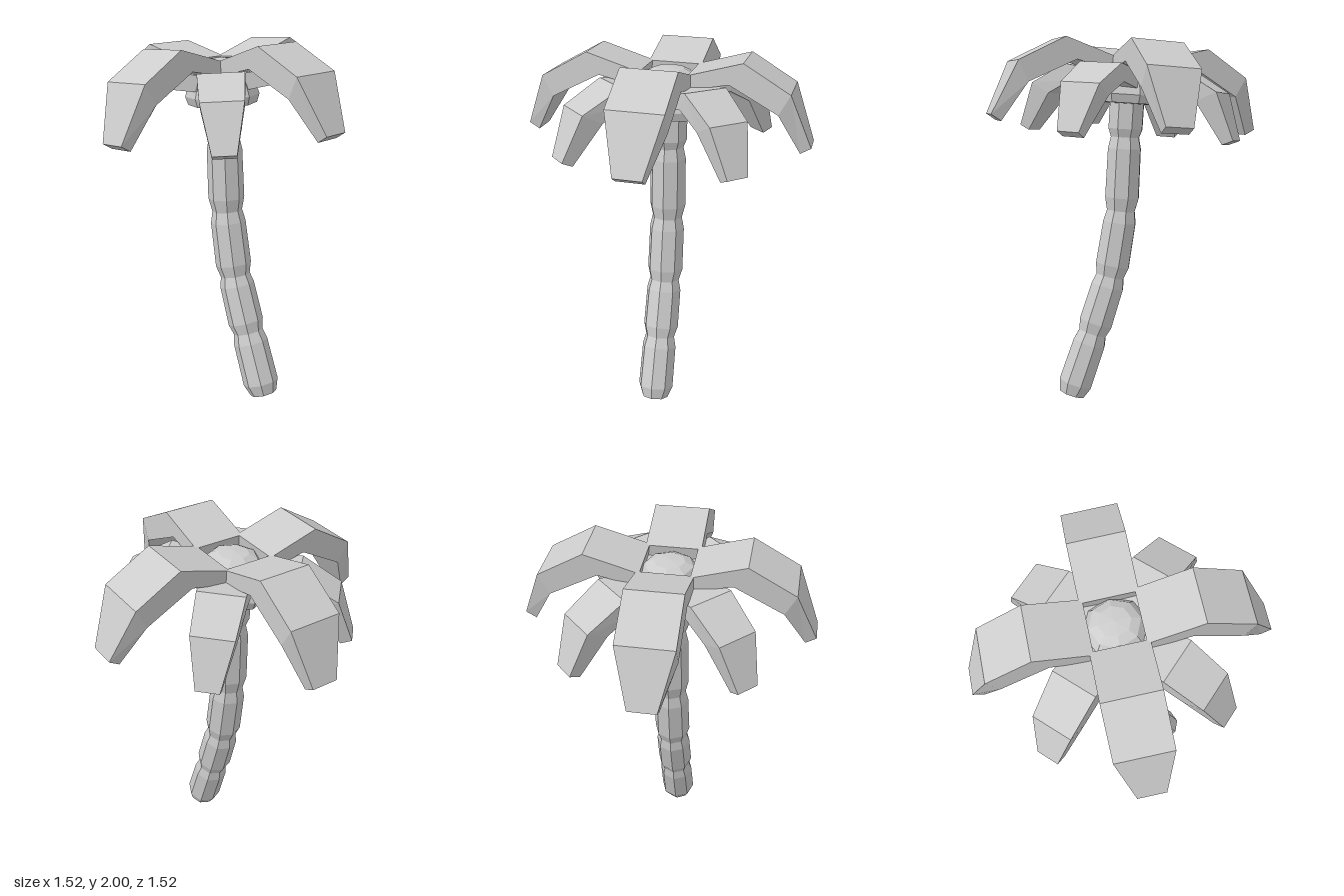
import * as THREE from 'three';

const material = new THREE.MeshStandardMaterial({ color: 0xcccccc, flatShading: true });

// Closed skin through rings of equal point count, each counter-clockwise about the direction of travel
function loft(rings) {
  const n = rings[0].length, last = (rings.length - 1) * n, index = [];
  for (let i = 0; i < rings.length - 1; i++) {
    for (let j = 0; j < n; j++) {
      const a = i * n + j, b = i * n + (j + 1) % n;
      index.push(a, b, b + n, a, b + n, a + n);
    }
  }
  for (let j = 1; j < n - 1; j++) {
    index.push(0, j + 1, j, last, last + j, last + j + 1);
  }
  const geometry = new THREE.BufferGeometry();
  geometry.setAttribute('position', new THREE.Float32BufferAttribute(rings.flat(2), 3));
  geometry.setIndex(index);
  geometry.computeVertexNormals();
  return geometry;
}

function part(name, geometry) {
  const mesh = new THREE.Mesh(geometry, material);
  mesh.name = name;
  return mesh;
}

// Leaning octagonal trunk, pinched at each joint
function trunkGeometry() {
  const joints = [[0.32, 0.025], [0.195, 0.37], [0.09, 0.69], [0.025, 1.06], [0, 1.47], [-0.015, 1.7]]
    .map(([x, y]) => new THREE.Vector3(x, y, 0));
  const curve = new THREE.CatmullRomCurve3(joints);
  const rings = [];
  const addRing = (t, radius) => {
    const c = curve.getPoint(t), d = curve.getTangent(t), ring = [];
    for (let j = 0; j < 8; j++) {
      const a = j * Math.PI / 4, u = radius * Math.cos(a);
      ring.push([c.x + d.y * u, c.y - d.x * u, -radius * Math.sin(a)]);
    }
    rings.push(ring);
  };
  const segments = joints.length - 1;
  for (let i = 0; i < segments; i++) {
    addRing(i / segments, i === 0 ? 0.075 : 0.083);
    addRing((i + 0.18) / segments, 0.1);
    if (i < segments - 1) addRing((i + 0.83) / segments, 0.097);
  }
  addRing(1, 0.1);
  return loft(rings);
}

// Bent frond along +x; each station is [topX, topY, lowX, lowY, halfWidth]
function frondGeometry(stations) {
  return loft(stations.map(([tx, ty, lx, ly, w]) => [[lx, ly, -w], [tx, ty, -w], [tx, ty, w], [lx, ly, w]]));
}

export function createModel() {
  const model = new THREE.Group();
  model.name = 'palmTree';
  model.add(part('trunk', trunkGeometry()));

  // Crown, tilted with the top of the trunk
  const crown = new THREE.Group();
  crown.name = 'crown';
  crown.position.set(-0.025, 1.87, 0);
  crown.rotation.z = 0.068;
  model.add(crown);

  const profile = [[0, -0.22], [0.185, -0.215], [0.2, -0.17], [0.16, -0.05], [0.125, 0], [0.08, 0.022], [0, 0.03]];
  crown.add(part('crownCore', new THREE.LatheGeometry(profile.map(([x, y]) => new THREE.Vector2(x, y)), 8)));

  // Four large fronds, and four smaller ones set lower between them
  const large = frondGeometry([
    [0.125, 0.023, 0.135, -0.05, 0.143],
    [0.403, 0.104, 0.337, -0.008, 0.143],
    [0.645, -0.034, 0.589, -0.141, 0.143],
    [0.76, -0.318, 0.706, -0.35, 0.072],
  ]);
  const small = frondGeometry([
    [0.1, -0.05, 0.1, -0.14, 0.12],
    [0.342, -0.018, 0.3, -0.11, 0.12],
    [0.55, -0.132, 0.44, -0.185, 0.108],
    [0.645, -0.375, 0.587, -0.4, 0.06],
  ]);
  for (let k = 0; k < 8; k++) {
    const frond = k % 2 ? part('smallFrond', small) : part('largeFrond', large);
    frond.rotation.y = k * Math.PI / 4;
    crown.add(frond);
  }
  return model;
}
